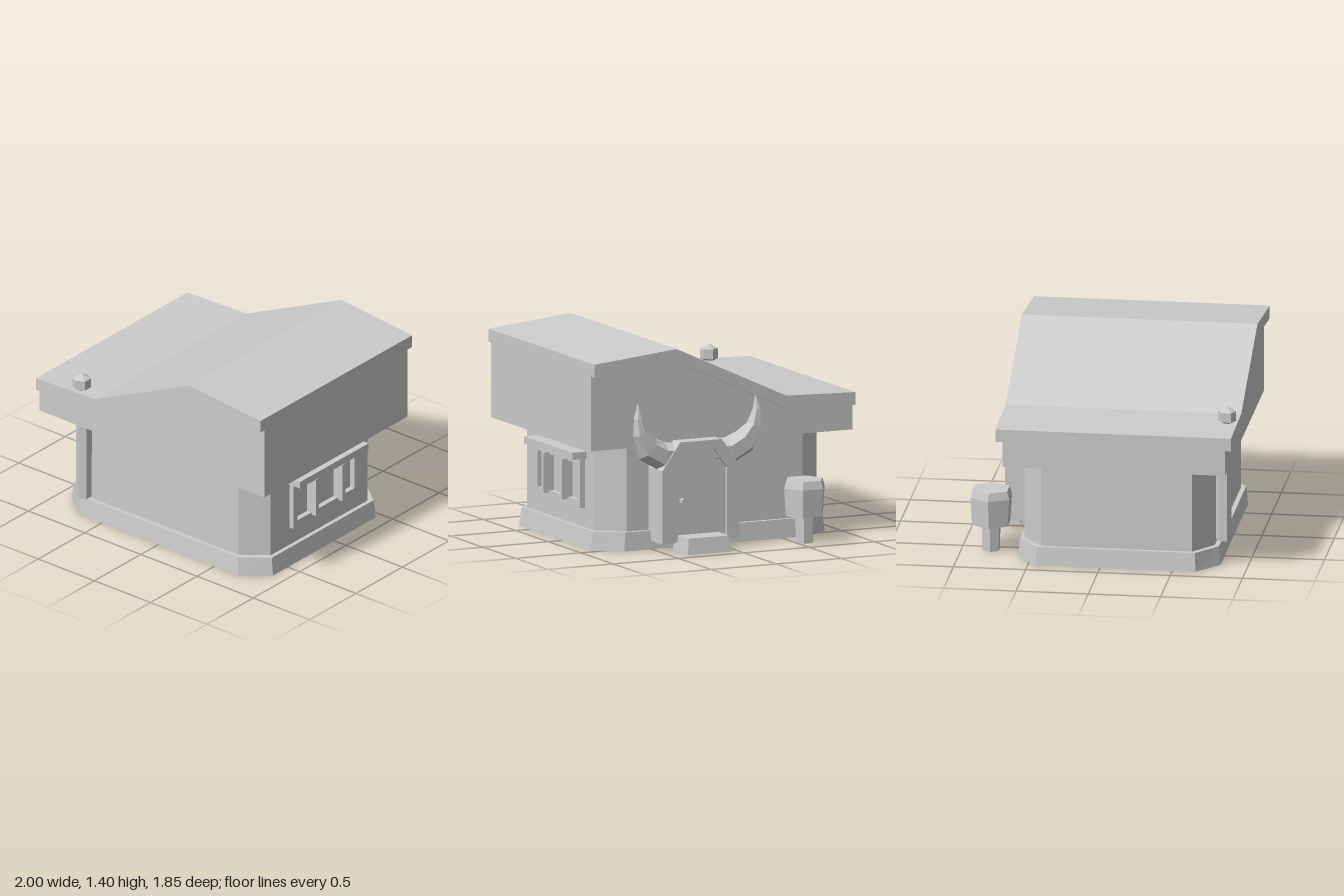
import * as THREE from 'three';

const grey = new THREE.MeshStandardMaterial({ color: 0xcccccc, side: THREE.DoubleSide, flatShading: true });
grey.name = 'plain grey';

const DOOR_X = 0.21;

function add(parent, name, geometry, x = 0, y = 0, z = 0) {
  const mesh = new THREE.Mesh(geometry, grey);
  mesh.name = name;
  mesh.position.set(x, y, z);
  parent.add(mesh);
  return mesh;
}

function addBox(parent, name, x0, x1, y0, y1, z0, z1) {
  return add(parent, name, new THREE.BoxGeometry(x1 - x0, y1 - y0, z1 - z0),
    (x0 + x1) / 2, (y0 + y1) / 2, (z0 + z1) / 2);
}

const toShape = (pts) => new THREE.Shape(pts.map(([x, y]) => new THREE.Vector2(x, y)));

// Extrudes a front-facing outline between two depths
function slab(shape, z0, z1) {
  const g = new THREE.ExtrudeGeometry(shape, { depth: z1 - z0, bevelEnabled: false });
  return g.translate(0, 0, z0);
}

// Skins rings of points [x, y, z], each ring running the same way round
function loft(rings) {
  const pos = [];
  for (let r = 0; r < rings.length - 1; r++) {
    const a = rings[r], b = rings[r + 1], n = a.length;
    for (let i = 0; i < n; i++) {
      const j = (i + 1) % n;
      pos.push(...a[i], ...a[j], ...b[j], ...a[i], ...b[j], ...b[i]);
    }
  }
  const g = new THREE.BufferGeometry();
  g.setAttribute('position', new THREE.Float32BufferAttribute(pos, 3));
  g.computeVertexNormals();
  return g;
}

// Rectangle with cut corners, counter-clockwise seen from above
function cutRing(y, hx, cx, zf, cf, zb, cb) {
  return [[hx, cf], [hx, cb], [cx, zb], [-cx, zb], [-hx, cb], [-hx, cf], [-cx, zf], [cx, zf]]
    .map(([x, z]) => [x, y, z]);
}

function rectRing(y, x0, x1, zf, zb) {
  return [[x1, y, zf], [x1, y, zb], [x0, y, zb], [x0, y, zf]];
}

// Curved horn: side is +1 or -1
function hornGeometry(side) {
  // distance from door centre, height, depth, in-plane radius, depth radius, direction angle
  const sections = [
    [0.12, 0.665, -0.67, 0.075, 0.085, 0],
    [0.25, 0.655, -0.67, 0.10, 0.10, 0.2],
    [0.37, 0.72, -0.685, 0.095, 0.085, 0.75],
    [0.435, 0.83, -0.70, 0.055, 0.06, 1.3],
    [0.455, 0.94, -0.705, 0.028, 0.035, 1.55],
    [0.45, 1.045, -0.697, 0.001, 0.001, 1.65],
  ];
  const rings = sections.map(([d, y, z, r, rz, a]) => {
    const ring = [];
    for (let i = 0; i < 6; i++) {
      const t = -side * i * Math.PI / 3;
      const u = Math.cos(t) * r;
      ring.push([DOOR_X + side * (d - Math.sin(a) * u), y + Math.cos(a) * u, z + Math.sin(t) * rz]);
    }
    return ring;
  });
  return loft(rings);
}

export function createModel() {
  const house = new THREE.Group();
  house.name = 'house';

  // Foundation: open beneath, with a narrow ledge
  add(house, 'foundation', loft([
    cutRing(0, 0.895, 0.71, 0.81, 0.66, -0.59, -0.445),
    cutRing(0.13, 0.88, 0.70, 0.797, 0.655, -0.58, -0.44),
    cutRing(0.13, 0.85, 0.675, 0.765, 0.63, -0.55, -0.41),
  ]));

  // Walls with cut corners
  const plan = toShape(cutRing(0, 0.85, 0.675, 0.765, 0.63, -0.55, -0.41).map(([x, , z]) => [x, -z]));
  const walls = new THREE.ExtrudeGeometry(plan, { depth: 0.6, bevelEnabled: false });
  add(house, 'walls', walls.rotateX(-Math.PI / 2), 0, 0.13, 0);

  // Upper storey and roof share one sloping line
  const eaves = [[-1, 0.908], [-0.47, 0.925], [0.37, 1.312], [1, 1.25]];
  const ridge = [[1, 1.34], [0.37, 1.402], [-0.47, 1.013], [-1, 0.997]];
  add(house, 'upperStorey', slab(toShape([[1, 0.73], [-1, 0.73], ...eaves]), -0.66, 0.88));
  add(house, 'roof', slab(toShape([...eaves, ...ridge]), -0.71, 0.92));

  // Faceted knob on the front eave
  const knob = add(house, 'roofKnob', new THREE.SphereGeometry(0.068, 6, 3), -0.652, 1.055, 0.847);
  knob.rotation.y = Math.PI / 6;
  knob.scale.set(1.12, 1, 1.05);

  // Front post
  add(house, 'frontPost', new THREE.CylinderGeometry(0.056, 0.053, 0.57, 6), -0.652, 0.45, 0.824);

  // Side window
  const windowGroup = new THREE.Group();
  windowGroup.name = 'sideWindow';
  house.add(windowGroup);
  addBox(windowGroup, 'windowCornice', 0.84, 0.96, 0.61, 0.66, -0.29, 0.45);
  addBox(windowGroup, 'windowSill', 0.84, 0.888, 0.265, 0.315, -0.265, 0.43);
  addBox(windowGroup, 'windowHead', 0.84, 0.888, 0.57, 0.61, -0.265, 0.43);
  addBox(windowGroup, 'windowJamb', 0.84, 0.888, 0.315, 0.57, 0.388, 0.43);
  addBox(windowGroup, 'windowJamb', 0.84, 0.888, 0.315, 0.57, -0.265, -0.225);
  for (const z of [0.225, -0.06]) {
    addBox(windowGroup, 'windowBar', 0.84, 0.932, 0.30, 0.583, z - 0.015, z + 0.015);
  }

  // Back door: arched surround, recessed leaf and handle
  const arch = (half, side, top, crown) => [[-half, 0.06], [half, 0.06], [half, side], [crown, top],
    [-crown, top], [-half, side]].map(([x, y]) => [x + DOOR_X, y]);
  const inner = arch(0.2, 0.56, 0.70, 0.10);
  const surround = toShape([
    ...arch(0.295, 0.57, 0.76, 0.16).slice(1), [DOOR_X - 0.295, 0.06],
    inner[0], inner[5], inner[4], inner[3], inner[2], inner[1],
  ]);
  add(house, 'doorSurround', slab(surround, -0.765, -0.54));
  add(house, 'doorLeaf', slab(toShape(inner), -0.735, -0.54));
  const handle = add(house, 'doorHandle', new THREE.CylinderGeometry(0.022, 0.022, 0.035, 6), 0.34, 0.345, -0.75);
  handle.rotation.x = Math.PI / 2;

  // Horns either side of the door
  for (const side of [1, -1]) {
    add(house, side > 0 ? 'leftHorn' : 'rightHorn', hornGeometry(side));
  }

  // Doorstep, open beneath
  const stepTop = rectRing(0.11, 0.06, 0.37, -0.69, -0.895);
  add(house, 'doorstep', loft([
    rectRing(0, 0.045, 0.385, -0.68, -0.915), stepTop,
    stepTop.map(() => [0.215, 0.11, -0.79]),
  ]));

  // Six-sided box on a short stem
  const box = new THREE.Group();
  box.name = 'standingBox';
  box.position.set(-0.565, 0, -0.797);
  box.rotation.y = Math.PI / 6;
  house.add(box);
  add(box, 'boxLid', new THREE.CylinderGeometry(0.138, 0.155, 0.055, 6), 0, 0.4125, 0);
  add(box, 'boxBody', new THREE.CylinderGeometry(0.155, 0.142, 0.195, 6), 0, 0.2875, 0);
  add(box, 'boxStem', new THREE.CylinderGeometry(0.07, 0.064, 0.19, 6), 0, 0.095, 0);

  return house;
}
